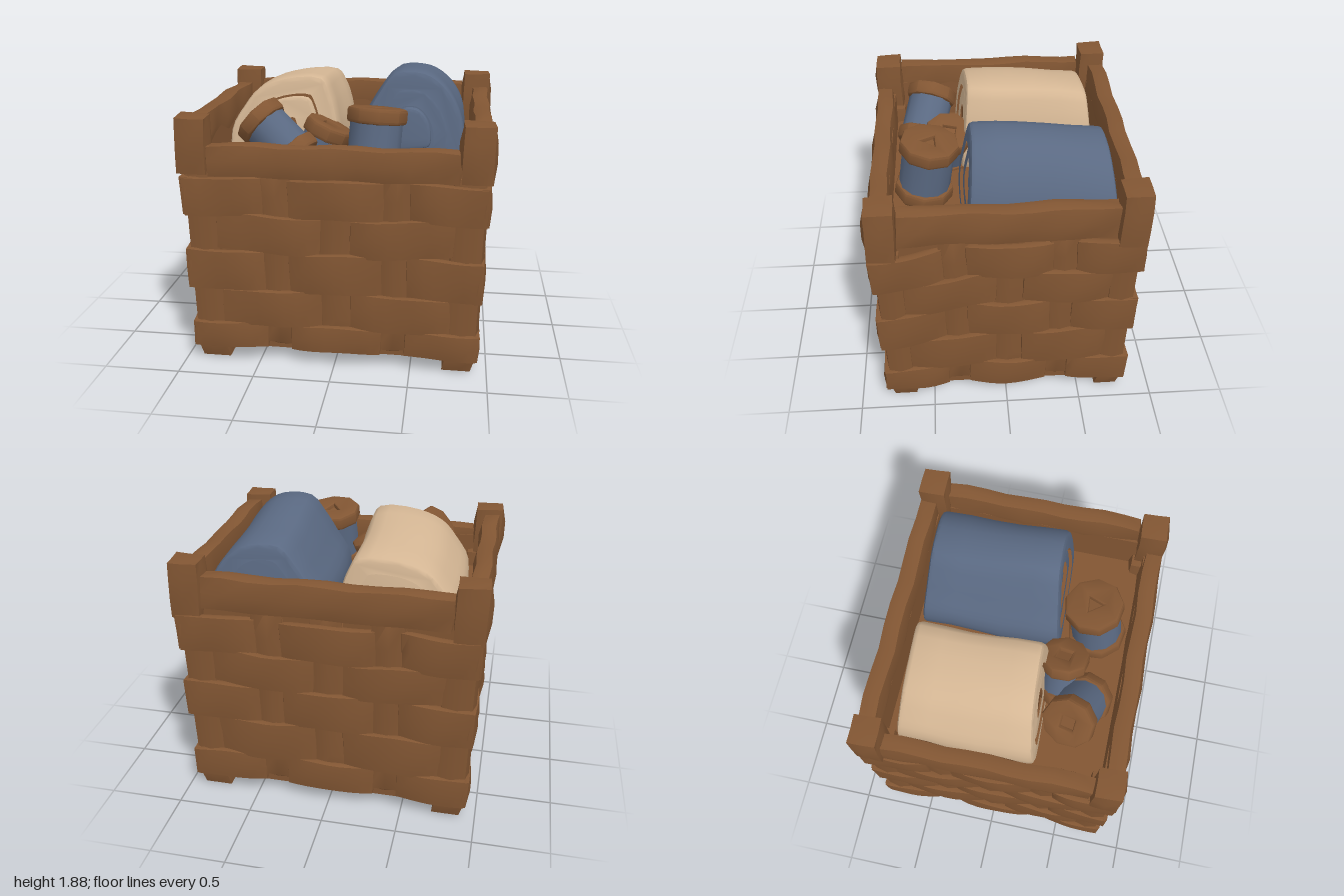
import * as THREE from 'three';
import { toCreasedNormals } from 'three/addons/utils/BufferGeometryUtils.js';

const mat = (name, color) => new THREE.MeshStandardMaterial({ name, color });

// moves every vertex by a rule
function warp(geo, rule) {
  const p = geo.attributes.position, v = new THREE.Vector3();
  for (let i = 0; i < p.count; i++) {
    v.fromBufferAttribute(p, i);
    rule(v);
    p.setXYZ(i, v.x, v.y, v.z);
  }
  return geo;
}

// box with worn-down edges, given by its size
function softBox(w, h, d, sx = 2, sy = 2, sz = 2, worn = 0.02) {
  return warp(new THREE.BoxGeometry(w, h, d, sx, sy, sz), (v) => {
    const e = [Math.abs(v.x) > w / 2 - 1e-4, Math.abs(v.y) > h / 2 - 1e-4, Math.abs(v.z) > d / 2 - 1e-4];
    if (e[0] + e[1] + e[2] < 2) return;
    if (e[0]) v.x -= Math.sign(v.x) * worn;
    if (e[1]) v.y -= Math.sign(v.y) * worn * 0.6;
    if (e[2]) v.z -= Math.sign(v.z) * worn;
  });
}

// uneven hand-carved surface
const rough = (v, a = 0.005) => {
  const { x, y, z } = v;
  v.x += a * Math.sin(9 * y + 13 * z);
  v.y += a * Math.sin(11 * x + 8 * z + 1);
  v.z += a * Math.sin(12 * x + 10 * y + 2);
};

// the basket narrows to its feet, and its weave climbs toward the back
const taper = (v) => {
  const k = 0.963 + 0.025 * v.y - 0.25 * Math.max(0, 0.09 - v.y);
  v.x *= k;
  v.z *= k;
};
const climb = (v) => {
  v.y += 0.085 * THREE.MathUtils.clamp((0.8 - v.z) / 0.6, 0, 1) * THREE.MathUtils.clamp(0.1 + (v.y - 0.1) * 2.5, 0, 1);
};

export function createModel() {
  const model = new THREE.Group();
  model.name = 'basket';
  const wicker = mat('wickerBrown', 0x825633);
  const cream = mat('creamCloth', 0xd4b694);
  const blue = mat('blueCloth', 0x5a6982);

  const add = (parent, name, geo, material, crease = 0.7) => {
    const mesh = new THREE.Mesh(toCreasedNormals(geo, crease), material);
    mesh.name = name;
    parent.add(mesh);
    return mesh;
  };

  // woven walls
  const rows = [[1.03, 1.29], [0.79, 1.05], [0.52, 0.8], [0.27, 0.53], [0.1, 0.29]];
  const overPosts = [[-0.97, -0.44], [-0.3, 0.33], [0.47, 0.97]];
  const betweenPosts = [[-0.77, -0.07], [0.1, 0.78]];
  const sides = [
    { name: 'front', turn: 0, out: 0.827, s: 1, top: 1.44 },
    { name: 'left', turn: Math.PI / 2, out: 0.945, s: 0.885, top: 1.5 },
    { name: 'back', turn: Math.PI, out: 0.827, s: 1, top: 1.5 },
    { name: 'right', turn: -Math.PI / 2, out: 0.945, s: 0.885, top: 1.5 },
  ];
  for (const { name, turn, out, s, top } of sides) {
    const wall = new THREE.Group();
    wall.name = name + 'Wall';
    model.add(wall);
    const put = (part, geo, x, y, z, rise = true) => {
      geo.translate(x, y, z).rotateY(turn);
      warp(geo, (v) => {
        rough(v);
        if (rise) climb(v);
        taper(v);
      });
      add(wall, part, geo, wicker);
    };
    put('backing', new THREE.BoxGeometry(1.8 * s, top - 0.1, 0.07), 0, (top + 0.1) / 2, out - 0.07, false);
    for (const x of [-0.37, 0.01, 0.4])
      put('stake', softBox(0.24 * s, 1.24, 0.06, 2, 6, 2), x * s, 0.75, out - 0.027);
    rows.forEach(([y0, y1], r) => {
      (r % 2 ? betweenPosts : overPosts).forEach(([a, b], i) => {
        const w = (b - a) * s, h = y1 - y0;
        const slant = r === 4 ? 0 : 0.02 * Math.sin(r * 5 + i * 3 + turn * 2);
        const strip = warp(softBox(w, h, 0.075, 8, 2, 2, 0.012), (v) => {
          const u = (2 * v.x) / w;
          const corner = (a < -0.9 && u < 0) || (b > 0.9 && u > 0);
          if (!corner) v.z -= 0.035 * u * u;
          v.y += slant * u;
        });
        put('woodStrip', strip, ((a + b) / 2) * s, (y0 + y1) / 2, out);
      });
    });
  }

  // top rails
  const rails = [
    ['frontRail', 1.6, 0.22, 0.15, 0, 1.395, 0.785],
    ['backRail', 1.6, 0.24, 0.15, 0, 1.53, -0.785],
    ['leftRail', 0.145, 0.25, 1.36, 0.905, 1.515, 0],
    ['rightRail', 0.145, 0.25, 1.36, -0.905, 1.515, 0],
  ];
  for (const [name, w, h, d, x, y, z] of rails) {
    const geo = softBox(w, h, d, w > 1 ? 10 : 2, 2, d > 1 ? 10 : 2, 0.022).translate(x, y, z);
    add(model, name, warp(geo, (v) => rough(v, 0.007)), wicker);
  }

  // corner posts with feet and heavy caps
  for (const sx of [-1, 1]) {
    for (const front of [true, false]) {
      const sz = front ? 1 : -1;
      const post = softBox(0.235, 1.34, 0.2, 2, 14, 2, 0.02).translate(sx * 0.848, 0.67, sz * 0.738);
      add(model, 'cornerPost', warp(post, taper), wicker);
      const h = front ? 0.38 : 0.4;
      const cap = softBox(0.23, h, 0.215, 2, 3, 2, 0.022);
      cap.translate(sx * 0.885, (front ? 1.675 : 1.735) - h / 2, sz * 0.757);
      add(model, 'postCap', warp(cap, (v) => rough(v, 0.005)), wicker);
    }
  }

  // base and raised inner floor
  add(model, 'base', warp(new THREE.BoxGeometry(1.74, 0.06, 1.5).translate(0, 0.14, 0), taper), wicker);
  add(model, 'innerFloor', new THREE.BoxGeometry(1.7, 0.05, 1.44).translate(0, 1.2, 0), wicker);

  // rolled cloths: nested layers of one arched outline
  const outline = (points, k) => {
    const curve = new THREE.CatmullRomCurve3(points.map(([x, y]) => new THREE.Vector3(x, y, 0)), true, 'centripetal');
    const xs = points.map((p) => p[0]);
    const cx = (Math.min(...xs) + Math.max(...xs)) / 2, cy = 1.46;
    return curve.getPoints(30).slice(0, 30).map((p) => new THREE.Vector2(cx + (p.x - cx) * k, cy + (p.y - cy) * k));
  };
  const layer = (group, name, points, outer, inner, z0, z1, material, bevel) => {
    const shape = new THREE.Shape(outline(points, outer));
    if (inner) shape.holes.push(new THREE.Path(outline(points, inner)));
    const geo = new THREE.ExtrudeGeometry(shape, {
      depth: z1 - z0 - 2 * bevel, steps: 5, bevelEnabled: true,
      bevelSize: bevel, bevelThickness: bevel, bevelOffset: -bevel, bevelSegments: 2,
    });
    geo.translate(0, 0, z0 + bevel);
    const middle = points[0][0] > 0 ? 0.42 : -0.42;
    warp(geo, (v) => {
      const back = THREE.MathUtils.clamp((0.1 - v.z) / 0.75, 0, 1);
      if (v.y > 1.4) v.y -= (v.y - 1.4) * 0.15 * back;
      // ends lean inward at the top and run slightly askew
      v.z -= (v.y - 1.5) * 0.1 * Math.sign(v.z) * Math.min(1, Math.abs(v.z) * 5) + 0.04 * (v.x - middle);
      v.y += 0.006 * Math.sin(9 * v.z + 7 * v.x);
      v.x += 0.008 * Math.sin(8 * v.z + 4 * v.y);
    });
    add(group, name, geo, material);
  };
  const bluePoints = [[0.09, 1.23], [0.05, 1.42], [0.14, 1.6], [0.22, 1.74], [0.32, 1.865], [0.52, 1.87],
    [0.65, 1.78], [0.75, 1.62], [0.79, 1.45], [0.76, 1.23]];
  const blueRoll = new THREE.Group();
  blueRoll.name = 'blueClothRoll';
  layer(blueRoll, 'outerFold', bluePoints, 1, 0.78, -0.67, 0.24, blue, 0.03);
  layer(blueRoll, 'filling', bluePoints, 0.82, 0, -0.65, 0.15, blue, 0.01);
  layer(blueRoll, 'middleFold', bluePoints, 0.72, 0.5, -0.1, 0.22, blue, 0.02);
  layer(blueRoll, 'innerFold', bluePoints, 0.4, 0, -0.1, 0.2, blue, 0.02);
  const creamPoints = [[-0.75, 1.23], [-0.79, 1.45], [-0.7, 1.62], [-0.6, 1.74], [-0.43, 1.815], [-0.17, 1.815],
    [-0.11, 1.71], [-0.07, 1.57], [-0.05, 1.42], [-0.08, 1.23]];
  const creamRoll = new THREE.Group();
  creamRoll.name = 'creamClothRoll';
  layer(creamRoll, 'outerFold', creamPoints, 1, 0.76, -0.63, 0.24, cream, 0.03);
  layer(creamRoll, 'backFilling', creamPoints, 0.82, 0, -0.62, -0.4, cream, 0.01);
  layer(creamRoll, 'brownLining', creamPoints, 0.82, 0, -0.45, 0.2, wicker, 0.01);
  layer(creamRoll, 'innerFold', creamPoints, 0.62, 0.3, -0.1, 0.23, cream, 0.02);
  model.add(blueRoll, creamRoll);

  // thread spools: two thick nine-sided discs, a brown core and a thread winding
  const ring = (n, r, turn = 0) => Array.from({ length: n }, (_, i) => {
    const a = turn + (i * 2 * Math.PI) / n;
    return new THREE.Vector2(r * Math.cos(a), r * Math.sin(a));
  });
  const spool = (name, top, axis, r, length, holeSides) => {
    const group = new THREE.Group();
    group.name = name;
    const disc = () => {
      const shape = new THREE.Shape(ring(9, r));
      shape.holes.push(new THREE.Path(ring(holeSides, 0.06, 0.6)));
      return new THREE.ExtrudeGeometry(shape, {
        depth: 0.06, bevelSize: 0.02, bevelThickness: 0.02, bevelOffset: -0.02, bevelSegments: 2,
      }).rotateX(-Math.PI / 2);
    };
    add(group, 'topDisc', disc().translate(0, -0.08, 0), wicker);
    add(group, 'bottomDisc', disc().translate(0, -length, 0), wicker);
    add(group, 'core', new THREE.CylinderGeometry(0.08, 0.08, length - 0.02, 10).translate(0, -length / 2 - 0.02, 0), wicker);
    add(group, 'thread', new THREE.CylinderGeometry(r * 0.87, r * 0.87, length - 0.09, 12).translate(0, -length / 2 - 0.02, 0), blue);
    group.position.set(...top);
    group.quaternion.setFromUnitVectors(new THREE.Vector3(0, 1, 0), new THREE.Vector3(...axis).normalize());
    model.add(group);
  };
  spool('leaningSpool', [-0.56, 1.6, 0.43], [-0.72, 0.62, -0.24], 0.175, 0.4, 4);
  spool('middleSpool', [-0.08, 1.54, 0.33], [0.4, 0.9, -0.05], 0.165, 0.34, 4);
  spool('standingSpool', [0.24, 1.68, 0.45], [0.06, 1, -0.15], 0.195, 0.42, 3);

  return model;
}
